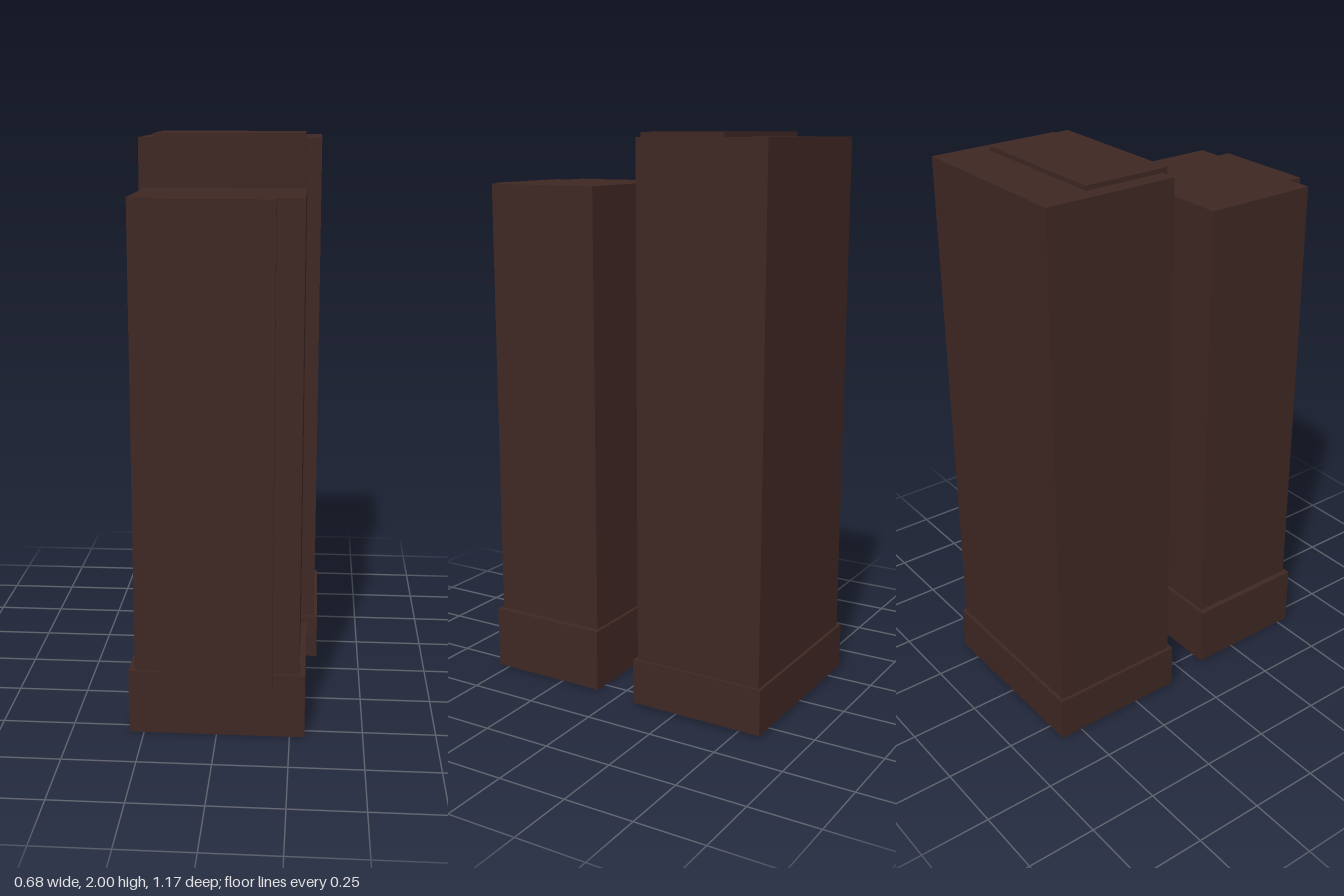
import * as THREE from 'three';

const material = new THREE.MeshStandardMaterial({ color: 0x3e2723 });

// Box given by its half width, y range and z range, centred on x = 0
function block(name, halfWidth, y0, y1, z0, z1) {
  const mesh = new THREE.Mesh(new THREE.BoxGeometry(halfWidth * 2, y1 - y0, z1 - z0), material);
  mesh.name = name;
  mesh.position.set(0, (y0 + y1) / 2, (z0 + z1) / 2);
  return mesh;
}

function tower(name, ...parts) {
  const group = new THREE.Group();
  group.name = name;
  group.add(...parts);
  return group;
}

export function createModel() {
  const model = new THREE.Group();
  model.name = 'twinTowers';

  // Shorter front tower with a raised panel on its front face
  model.add(tower('frontTower',
    block('frontBase', 0.301, 0, 0.226, 0.095, 0.547),
    block('frontShaft', 0.28, 0.226, 1.82, 0.107, 0.536),
    block('frontPanel', 0.19, 0.13, 1.82, 0.536, 0.586)));

  // Taller rear tower with a cap block wrapping over the front edge
  model.add(tower('rearTower',
    block('rearBase', 0.34, 0.01, 0.174, -0.586, -0.085),
    block('rearShaft', 0.328, 0.174, 1.984, -0.575, -0.097),
    block('rearCap', 0.27, 1.714, 2, -0.392, -0.079)));

  return model;
}
